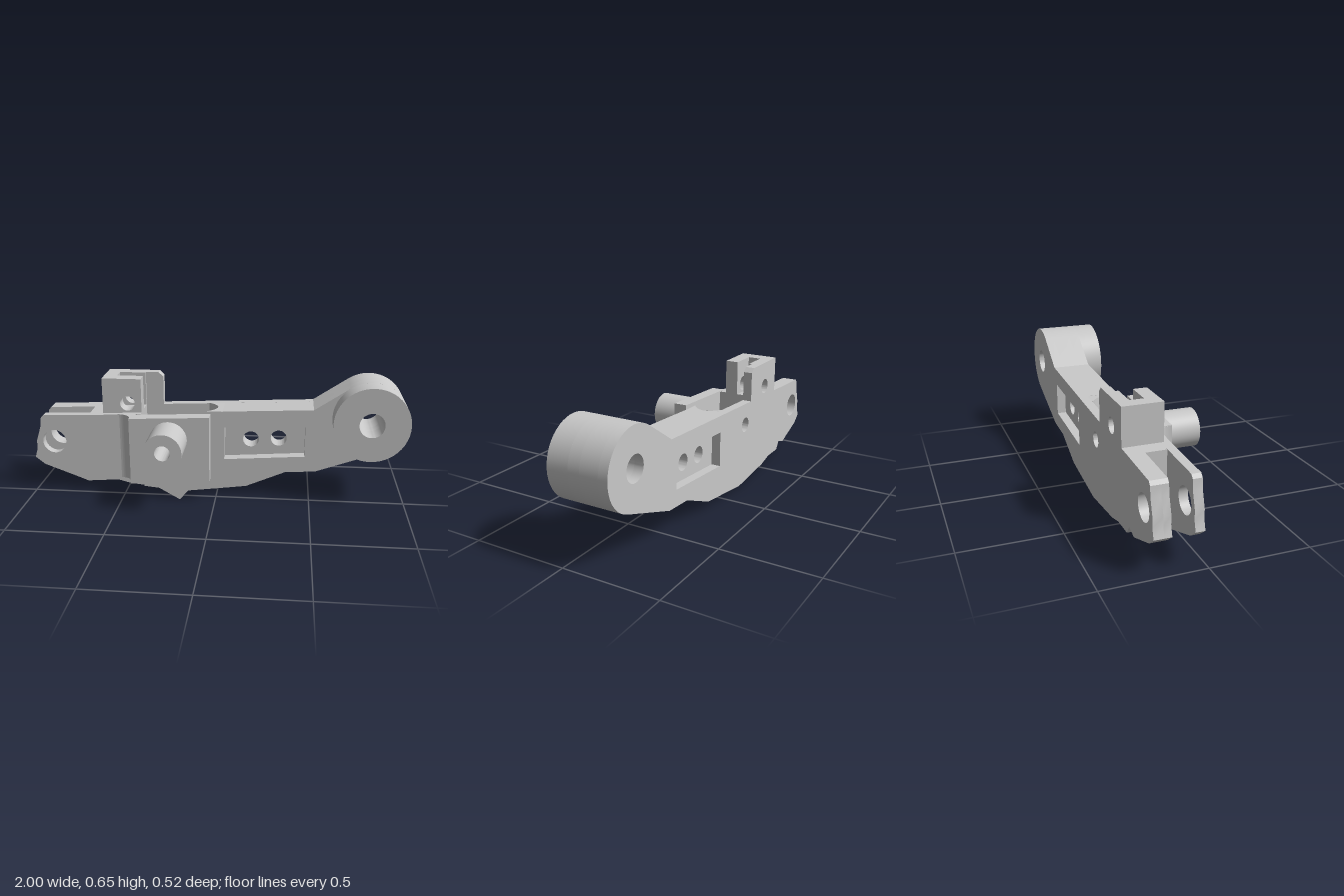
import * as THREE from 'three';
import { toCreasedNormals } from 'three/addons/utils/BufferGeometryUtils.js';

const RAD = Math.PI / 180;

export function createModel() {
  const group = new THREE.Group();
  const grey = new THREE.MeshStandardMaterial({ color: 0xc8c8c8 });

  const add = (name, geo) => {
    const mesh = new THREE.Mesh(toCreasedNormals(geo, 0.5), grey);
    mesh.name = name;
    group.add(mesh);
  };
  const poly = (pts) => new THREE.Shape(pts.map(([x, y]) => new THREE.Vector2(x, y)));
  const hole = ([x, y, r]) => new THREE.Path().absarc(x, y, r, 0, Math.PI * 2, true);
  const options = (depth) => ({ depth, bevelEnabled: false, curveSegments: 24 });

  // Side profile (x, y) extruded between two z values; outline made counter-clockwise
  const slab = (name, outline, z0, z1, holes = []) => {
    const pts = outline.getPoints(24);
    if (THREE.ShapeUtils.isClockWise(pts)) pts.reverse();
    const shape = new THREE.Shape(pts);
    shape.holes.push(...holes);
    const geo = new THREE.ExtrudeGeometry(shape, options(z1 - z0));
    add(name, geo.translate(0, 0, z0));
  };
  // Plan profile (x, -z) extruded between two y values
  const upright = (shape, y0, y1) => new THREE.ExtrudeGeometry(shape, options(y1 - y0))
    .rotateX(-Math.PI / 2).translate(0, y0, 0);

  // Shared holes and edge runs
  const back = -0.258, barFace = -0.056;
  const forkHole = [-0.885, 0.28, 0.065];
  const towerHole = [-0.48, 0.498, 0.04];
  const pinHole = [-0.246, 0.3385, 0.04];
  const bossHole = [0.803, 0.45, 0.065];
  const webHoles = [[0.18, 0.298, 0.043], [0.33, 0.308, 0.043]];
  const recess = () => new THREE.Path(
    [[0.04, 0.198], [0.47, 0.228], [0.47, 0.402], [0.04, 0.38]].map((p) => new THREE.Vector2(...p)));
  const forkEnd = [[-0.775, 0.08], [-0.95, 0.145], [-1, 0.185], [-0.985, 0.235],
    [-0.985, 0.28], [-0.96, 0.36], [-0.955, 0.41], [-0.94, 0.427]];
  const belly = [[-0.19, 0], [-0.48, 0.03], [-0.57, 0.053], [-0.685, 0.055], [-0.715, 0.1]];

  // Outline that runs from the given left edge around the boss and back along the underside
  const armShape = (left, underside) => {
    const s = poly(left);
    s.lineTo(0.51, 0.49);
    s.absarc(0.803, 0.45, 0.196, 123.8 * RAD, -70.1 * RAD, true);
    for (const p of [[0.53, 0.145], [0.37, 0.135], [0.16, 0.045], ...underside]) s.lineTo(...p);
    return s;
  };

  // Back wall with the full tower
  slab('backWall', armShape([...forkEnd, [-0.615, 0.44], [-0.615, 0.633], [-0.335, 0.633],
    [-0.31, 0.61], [-0.31, 0.453]], belly), back, -0.21,
  [...[forkHole, towerHole, pinHole, bossHole].map(hole), recess()]);

  // Arm: thin web between the two recessed faces
  const barLeft = [[0.03, 0.028], [0.03, 0.468]];
  slab('armWeb', armShape(barLeft, []), -0.21, -0.115, [bossHole, ...webHoles].map(hole));
  slab('armFront', armShape(barLeft, []), -0.115, barFace, [hole(bossHole), recess()]);

  // Large pivot boss standing out in front of the arm
  slab('pivotBoss', new THREE.Shape().absarc(0.803, 0.45, 0.196, 0, Math.PI * 2, false),
    barFace, 0.055, [hole(bossHole)]);

  // Curved end of the pocket, its hollow tapering away towards the floor
  const bite = new THREE.Shape();
  bite.moveTo(0.03, -barFace);
  bite.lineTo(0.03, 0.21);
  bite.lineTo(-0.055, 0.21);
  bite.quadraticCurveTo(0.055, 0.14, -0.055, -barFace);
  const pocketEnd = upright(bite, 0.19, 0.467);
  const pos = pocketEnd.attributes.position;
  for (let i = 0; i < pos.count; i++) {
    const x = pos.getX(i);
    if (pos.getY(i) < 0.2 && x < 0.02) pos.setX(i, -0.055 + (x + 0.055) * 0.3);
  }
  add('pocketEnd', pocketEnd);

  // Pocket floor
  slab('pocketFloor', poly([[-0.405, 0.19], [0.03, 0.19], [0.03, 0.028], [-0.19, 0], [-0.405, 0.022]]),
    -0.21, barFace);
  const foot = [[-0.1, 0.103], [-0.19, 0], [-0.34, 0.085]];
  slab('pocketSill', poly([[-0.405, 0.19], [-0.055, 0.19], [-0.055, 0.103], ...foot, [-0.405, 0.082]]),
    barFace, -0.015);

  // Left block in layers: two fork prongs around a slot
  const blockTop = [[-0.615, 0.44], [-0.405, 0.45]];
  const blockBottom = [[-0.405, 0.022], ...belly.slice(1)];
  const raisedBottom = [[-0.405, 0.082], [-0.57, 0.066], [-0.71, 0.055]];
  slab('backProng', poly([...forkEnd, ...blockTop, ...blockBottom]), -0.21, -0.175, [hole(forkHole)]);
  slab('forkRoot', poly([[-0.69, 0.056], [-0.69, 0.436], ...blockTop, ...blockBottom.slice(0, -1)]),
    -0.175, -0.07);
  slab('frontProng', poly([...forkEnd, ...blockTop, ...raisedBottom]), -0.07, -0.025, [hole(forkHole)]);

  // Tower: back lining, left cheek and front wall around an open slot
  const tower = (x1) => poly([[-0.615, 0.43], [-0.615, 0.633], [x1, 0.633], [x1, 0.43]]);
  slab('towerLining', tower(-0.405), -0.21, -0.195, [hole(towerHole)]);
  slab('towerCheek', tower(-0.545), -0.195, -0.125);
  slab('towerFront', tower(-0.405), -0.125, -0.055, [hole(towerHole)]);

  // Front plate with pointed foot, fillet and hollow pin
  slab('frontPlate', poly([[-0.455, 0.08], [-0.455, 0.448], [-0.03, 0.467], [-0.03, 0.103], ...foot]),
    -0.015, 0.055, [hole(pinHole)]);
  const fillet = new THREE.Shape();
  fillet.moveTo(-0.41, 0.03);
  fillet.lineTo(-0.53, 0.026);
  fillet.quadraticCurveTo(-0.455, 0.02, -0.455, -0.05);
  fillet.lineTo(-0.41, -0.05);
  add('plateFillet', upright(fillet, 0.084, 0.446));
  slab('hollowPin', new THREE.Shape().absarc(-0.246, 0.3385, 0.0985, 0, Math.PI * 2, false),
    0.055, 0.258, [hole(pinHole)]);

  return group;
}
